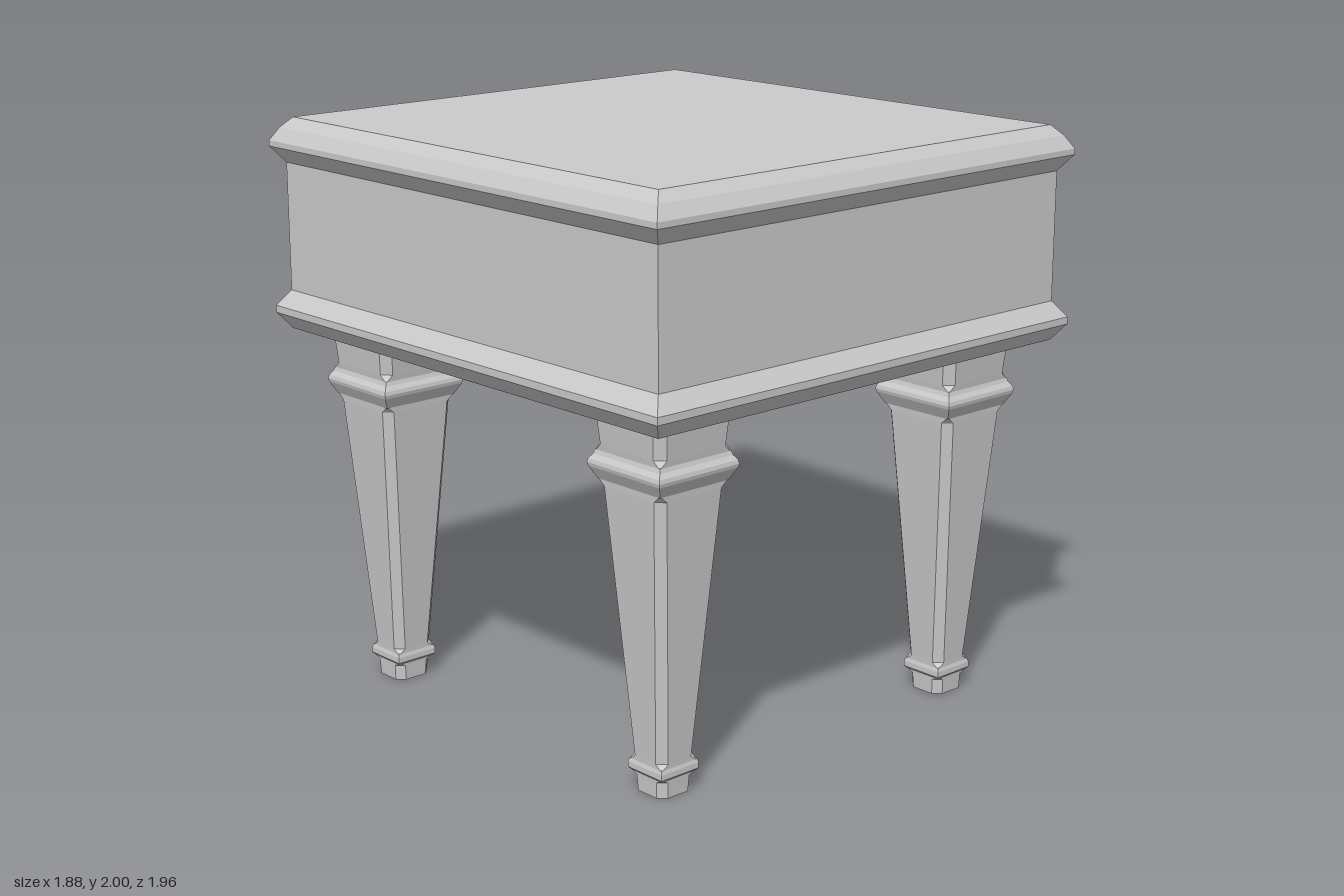
import * as THREE from 'three';

const material = new THREE.MeshStandardMaterial({ color: 0xcccccc, flatShading: true });

// Rectangle with cut corners, counter-clockwise seen from above
function section(y, hx, hz, cut) {
  return [
    [hx, -hz + cut], [hx - cut, -hz], [-hx + cut, -hz], [-hx, -hz + cut],
    [-hx, hz - cut], [-hx + cut, hz], [hx - cut, hz], [hx, hz - cut],
  ].map(([x, z]) => new THREE.Vector3(x, y, z));
}

// Closed faceted solid through cross-sections listed from bottom to top
function loft(sections) {
  const positions = [];
  const tri = (a, b, c) => {
    const area = b.clone().sub(a).cross(c.clone().sub(a)).length();
    if (area > 1e-9) for (const p of [a, b, c]) positions.push(p.x, p.y, p.z);
  };
  const n = sections[0].length;
  for (let s = 0; s < sections.length - 1; s++) {
    const lo = sections[s], hi = sections[s + 1];
    for (let i = 0; i < n; i++) {
      const j = (i + 1) % n;
      tri(lo[i], lo[j], hi[j]);
      tri(lo[i], hi[j], hi[i]);
    }
  }
  const bottom = sections[0], top = sections[sections.length - 1];
  for (let i = 1; i < n - 1; i++) {
    tri(bottom[0], bottom[i + 1], bottom[i]);
    tri(top[0], top[i], top[i + 1]);
  }
  const geometry = new THREE.BufferGeometry();
  geometry.setAttribute('position', new THREE.Float32BufferAttribute(positions, 3));
  geometry.computeVertexNormals();
  return geometry;
}

export function createModel() {
  const group = new THREE.Group();
  group.name = 'stool';
  const add = (name, geometry, parent = group) => {
    const mesh = new THREE.Mesh(geometry, material);
    mesh.name = name;
    parent.add(mesh);
  };

  // Box body and its mitred mouldings: [y, half width]; depth is a little larger
  const slab = (profile) => loft(profile.map(([y, h]) => section(y, h, h + 0.04, 0)));
  add('lowerMoulding', slab([[1.265, 0.9], [1.32, 0.94], [1.345, 0.94], [1.4, 0.9]]));
  add('apron', slab([[1.4, 0.9], [1.845, 0.9]]));
  add('top', slab([[1.845, 0.9], [1.9, 0.94], [1.92, 0.94], [1.965, 0.913], [2, 0.88]]));

  // Leg parts: [y, half width, corner cut]
  const square = (profile) => loft(profile.map(([y, h, cut]) => section(y, h, h, cut)));
  const legParts = {
    foot: square([[0, 0.069, 0.026], [0.055, 0.072, 0.026], [0.068, 0.073, 0]]),
    ankleRing: square([[0.065, 0.073, 0], [0.073, 0.08, 0], [0.092, 0.08, 0], [0.105, 0.076, 0]]),
    shaft: square([[0.1, 0.076, 0], [0.12, 0.077, 0.028], [1.015, 0.142, 0.028], [1.04, 0.143, 0]]),
    collar: square([[1.035, 0.143, 0], [1.075, 0.164, 0], [1.087, 0.167, 0],
      [1.1, 0.164, 0], [1.115, 0.153, 0], [1.13, 0.148, 0]]),
    legBlock: square([[1.125, 0.148, 0], [1.15, 0.151, 0.03], [1.275, 0.162, 0.03]]),
  };

  for (const [zName, z] of [['front', 0.69], ['back', -0.69]]) {
    for (const [xName, x] of [['Left', 0.653], ['Right', -0.653]]) {
      const leg = new THREE.Group();
      leg.name = `${zName}${xName}Leg`;
      leg.position.set(x, 0, z);
      for (const [name, geometry] of Object.entries(legParts)) add(name, geometry, leg);
      group.add(leg);
    }
  }
  return group;
}
